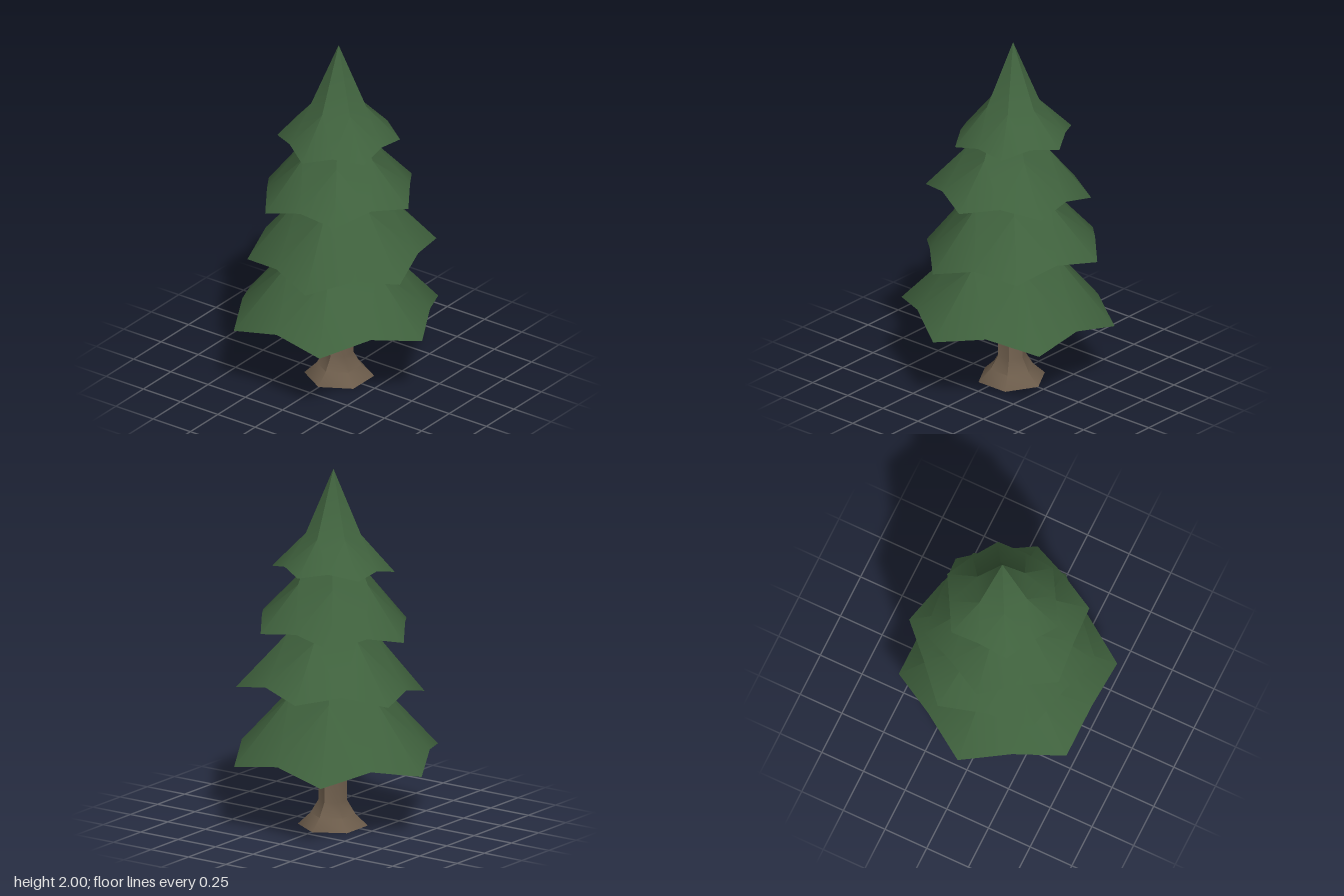
import * as THREE from 'three';
import { toCreasedNormals } from 'three/addons/utils/BufferGeometryUtils.js';

const GREEN = new THREE.MeshStandardMaterial({ color: 0x3f613d });
const BROWN = new THREE.MeshStandardMaterial({ color: 0x6b5b4a });

// corners: six [x, z] rim points; y: rim height, tilted by tiltX and tiltZ;
// lift: rise of the rim between corners; neck: scale and height of the upper ring
const TIERS = [
  { name: 'bottomBranches', y: 0.383, tiltX: -0.03, tiltZ: 0.034, lift: 0.06, neck: [0.46, 0.74], tip: 1.22,
    corners: [[0.012, -0.59], [0.515, -0.28], [0.49, 0.315], [-0.03, 0.59], [-0.53, 0.27], [-0.51, -0.32]] },
  { name: 'lowerBranches', y: 0.76, tiltX: 0.08, tiltZ: 0.005, lift: 0.05, neck: [0.46, 1.08], tip: 1.58,
    corners: [[0.18, -0.49], [0.53, -0.12], [0.385, 0.38], [-0.11, 0.5], [-0.47, 0.13], [-0.325, -0.365]] },
  { name: 'upperBranches', y: 1.11, tiltX: 0, tiltZ: 0.067, lift: 0.045, neck: [0.49, 1.37], tip: 1.85,
    corners: [[-0.03, -0.44], [0.375, -0.25], [0.405, 0.2], [0.035, 0.45], [-0.37, 0.255], [-0.4, -0.19]] },
  { name: 'topBranches', y: 1.437, tiltX: 0.06, tiltZ: -0.01, lift: 0.03, neck: [0.45, 1.635], tip: 2,
    corners: [[0.19, -0.3], [0.355, -0.01], [0.19, 0.28], [-0.14, 0.28], [-0.31, -0.01], [-0.14, -0.3]] },
];

function tierGeometry({ y, tiltX, tiltZ, lift, neck, tip, corners }) {
  const cx = corners.reduce((s, c) => s + c[0], 0) / 6;
  const cz = corners.reduce((s, c) => s + c[1], 0) / 6;
  const rim = (x, z, up) => [x, y + tiltX * x + tiltZ * z + up, z];
  const apex = [cx, tip, cz];
  const centre = rim(cx, cz, lift * 0.5);
  const ring = corners.map(([x, z]) => ({
    low: rim(x, z, 0),
    neck: [cx + (x - cx) * neck[0], neck[1], cz + (z - cz) * neck[0]],
  }));
  const positions = [];
  const tri = (...points) => points.forEach((p) => positions.push(...p));
  for (let i = 0; i < 6; i++) {
    const a = ring[i], b = ring[(i + 1) % 6];
    const mid = rim((a.low[0] + b.low[0]) / 2, (a.low[2] + b.low[2]) / 2, lift);
    // skirt
    tri(a.low, a.neck, mid);
    tri(mid, a.neck, b.neck);
    tri(mid, b.neck, b.low);
    // steeper peak
    tri(a.neck, apex, b.neck);
    // underside
    tri(a.low, mid, centre);
    tri(mid, b.low, centre);
  }
  const geometry = new THREE.BufferGeometry();
  geometry.setAttribute('position', new THREE.Float32BufferAttribute(positions, 3));
  return toCreasedNormals(geometry, 0.6);
}

export function createModel() {
  const tree = new THREE.Group();
  tree.name = 'pineTree';

  // six-sided trunk with a flared foot
  const profile = [[0, 0], [0.19, 0], [0.122, 0.065], [0.078, 0.14], [0.077, 0.5]]
    .map(([r, h]) => new THREE.Vector2(r, h));
  const trunk = new THREE.Mesh(
    toCreasedNormals(new THREE.LatheGeometry(profile, 6, Math.PI / 2), 0.8), BROWN);
  trunk.name = 'trunk';
  trunk.position.set(0.02, 0, -0.003);
  tree.add(trunk);

  // stacked tiers of branches
  for (const tier of TIERS) {
    const mesh = new THREE.Mesh(tierGeometry(tier), GREEN);
    mesh.name = tier.name;
    tree.add(mesh);
  }
  return tree;
}
